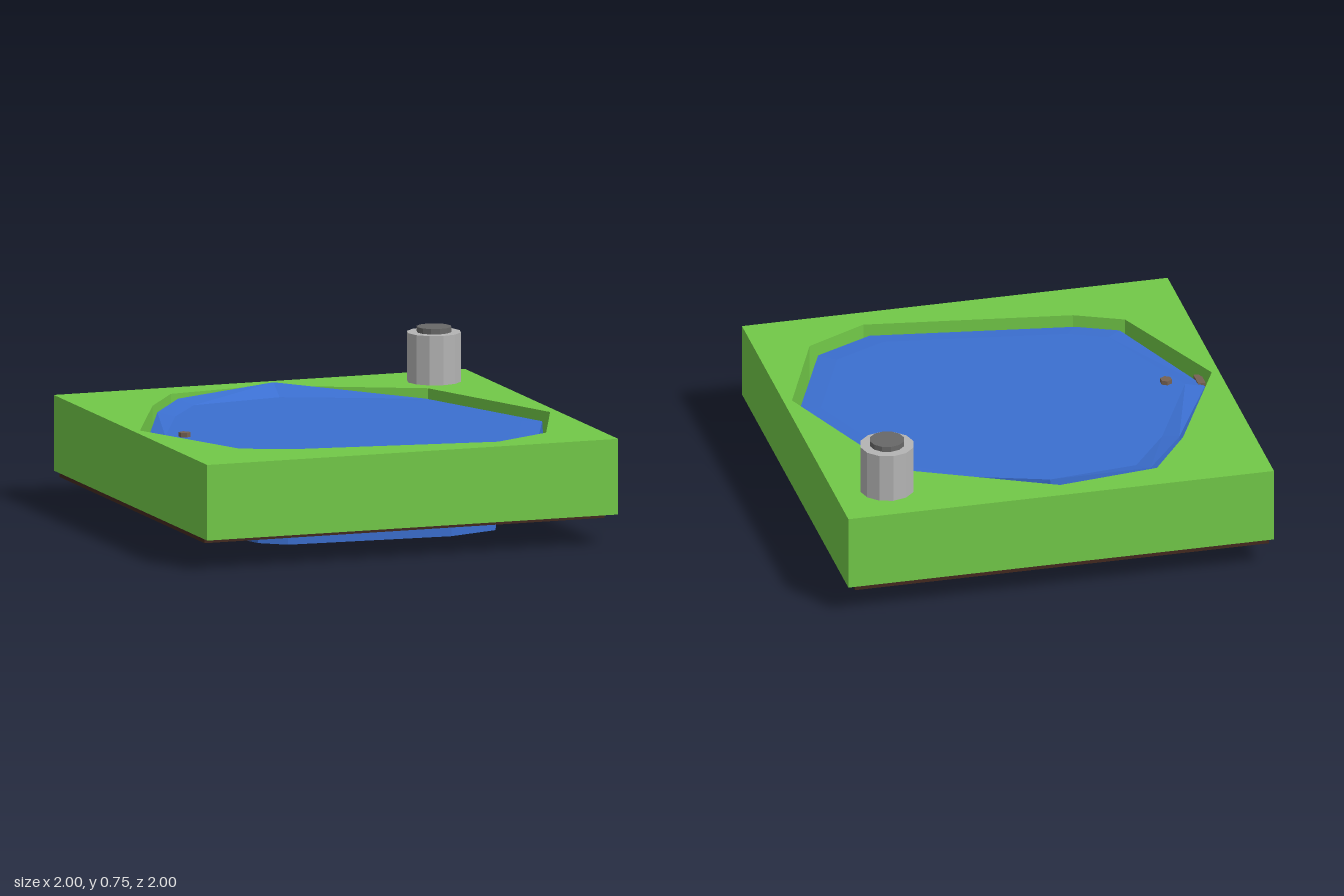
import * as THREE from 'three';

// Matching outlines [x, z] (+ y where they slope), all starting at the -x corner and running by the back
const BANK = [[-0.965, 0.03], [-0.68, -0.57], [-0.49, -0.84], [-0.02, -0.9], [0.66, -0.57],
  [0.96, 0.22], [0.75, 0.73], [0.46, 0.88], [-0.49, 0.74], [-0.71, 0.64]];
const SURFACE = [[-0.93, 0.43, 0.02], [-0.675, 0.47, -0.52], [-0.47, 0.475, -0.8], [0.02, 0.51, -0.87], [0.64, 0.45, -0.54],
  [0.925, 0.45, 0.21], [0.715, 0.45, 0.71], [0.44, 0.45, 0.845], [-0.49, 0.45, 0.705], [-0.68, 0.45, 0.62]];
const BED = [[-0.75, 0.03, -0.03], [-0.556, 0.03, -0.46], [-0.32, 0.05, -0.74], [0.01, 0.04, -0.725], [0.495, 0.02, -0.46],
  [0.73, 0, 0.135], [0.587, 0.015, 0.508], [0.32, 0.025, 0.645], [-0.426, 0.01, 0.517], [-0.55, 0.015, 0.454]];

// Flat-sided solid lofted through rings listed from bottom to top
function loft(rings) {
  const pos = [];
  const tri = (...pts) => pts.forEach((p) => pos.push(...p));
  const centre = (ring) => [0, 1, 2].map((k) => ring.reduce((s, p) => s + p[k], 0) / ring.length);
  const first = rings[0], last = rings[rings.length - 1];
  const low = centre(first), high = centre(last);
  const n = first.length;
  for (let i = 0; i < n; i++) {
    const j = (i + 1) % n;
    for (let r = 0; r < rings.length - 1; r++) {
      const a = rings[r], b = rings[r + 1];
      tri(a[j], a[i], b[i]);
      tri(a[j], b[i], b[j]);
    }
    tri(low, first[i], first[j]);
    tri(high, last[j], last[i]);
  }
  const geo = new THREE.BufferGeometry();
  geo.setAttribute('position', new THREE.Float32BufferAttribute(pos, 3));
  geo.computeVertexNormals();
  return geo;
}

export function createModel() {
  const group = new THREE.Group();
  const mat = (color) => new THREE.MeshStandardMaterial({ color, flatShading: true });
  const green = mat(0x72c948), blue = mat(0x3b6fd0), brown = mat(0x43291f);
  const metal = mat(0xb4b4b4), dark = mat(0x686868), wood = mat(0x756253);
  const add = (name, geo, material, x = 0, y = 0, z = 0) => {
    const mesh = new THREE.Mesh(geo, material);
    mesh.name = name;
    mesh.position.set(x, y, z);
    group.add(mesh);
    return mesh;
  };

  // Grass block with the pond opening cut through it
  const square = [[-1, -1], [1, -1], [1, 1], [-1, 1]].map(([x, y]) => new THREE.Vector2(x, y));
  const shape = new THREE.Shape(square);
  shape.holes.push(new THREE.Path(BANK.map(([x, z]) => new THREE.Vector2(x, -z))));
  const block = new THREE.ExtrudeGeometry(shape, { depth: 0.35, bevelEnabled: false });
  block.rotateX(-Math.PI / 2);
  add('grassBlock', block, green, 0, 0.142, 0);

  // Soil sheet under the grass
  add('soilBase', new THREE.BoxGeometry(1.945, 0.035, 1.895), brown, -0.008, 0.1325, -0.033);

  // Water: narrow bed below the soil, wide body, raised corner at the back
  const neck = BED.map(([x, , z]) => [x, 0.13, z]);
  const body = BANK.map(([x, z]) => [x * 0.982, 0.17, z * 0.982]);
  const flat = SURFACE.map(([x, , z]) => [x * 0.9, 0.455, z * 0.9]);
  add('pondWater', loft([BED, neck, body, SURFACE, flat]), blue);

  // Round well with a dark cap
  add('well', new THREE.CylinderGeometry(0.125, 0.125, 0.42, 12), metal, 0.755, 0.51, -0.745);
  add('wellCap', new THREE.CylinderGeometry(0.08, 0.08, 0.05, 12), dark, 0.755, 0.72, -0.745);

  // Pipe from the well to the water
  const pipe = add('drainPipe', new THREE.CylinderGeometry(0.05, 0.05, 0.24, 8), metal, 0.645, 0.34, -0.68);
  pipe.quaternion.setFromUnitVectors(new THREE.Vector3(0, 1, 0), new THREE.Vector3(-0.85, 0, 0.53).normalize());

  // Stumps at the shallow side
  add('stump', new THREE.CylinderGeometry(0.028, 0.028, 0.08, 6), wood, -0.755, 0.435, 0.05);
  add('bankStump', new THREE.BoxGeometry(0.035, 0.08, 0.09), wood, -0.92, 0.4, 0.08);

  return group;
}
